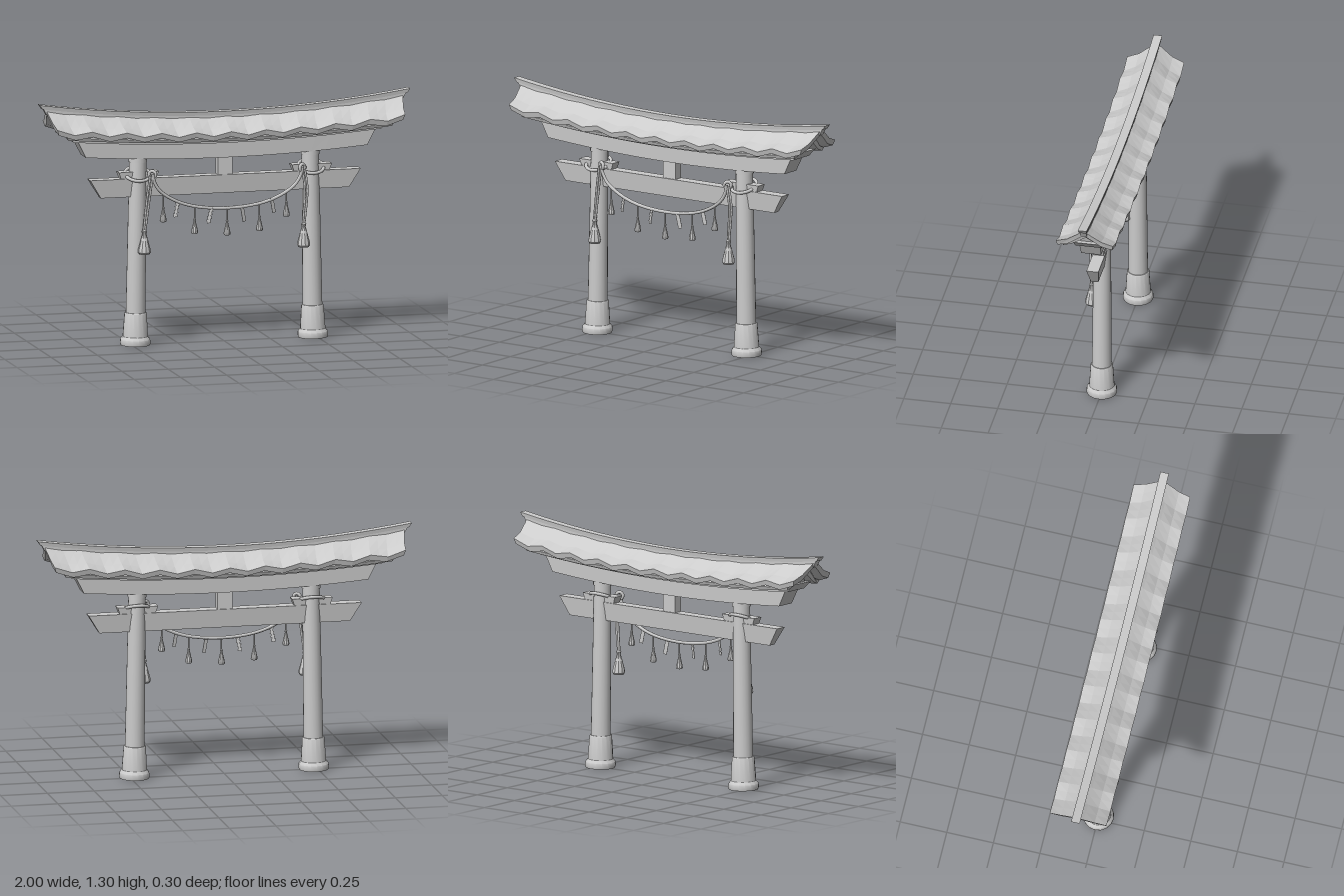
import * as THREE from 'three';
import { toCreasedNormals } from 'three/addons/utils/BufferGeometryUtils.js';

const mat = new THREE.MeshStandardMaterial({ color: 0xcccccc });
const thin = new THREE.MeshStandardMaterial({ color: 0xcccccc, side: THREE.DoubleSide });

function add(parent, name, geo, x = 0, y = 0, z = 0, material = mat) {
  const m = new THREE.Mesh(geo, material);
  m.name = name;
  m.position.set(x, y, z);
  parent.add(m);
  return m;
}

// Upward sweep towards the ends, stronger at the ridge
const sag = (x, y) => x * x * (0.055 + 0.02 * THREE.MathUtils.clamp((y - 1.12) / 0.08, 0, 1));

// Loft a closed [z, y] outline (counter-clockwise) along x; ends slant from halfLow to halfHigh
function beam(profile, halfLow, halfHigh, { segments = 20, curve = sag, wave = () => 0 } = {}) {
  const ys = profile.map((p) => p[1]);
  const low = Math.min(...ys), span = Math.max(...ys) - low;
  const n = profile.length, pos = [];
  const point = (s, i) => {
    const [z, y] = profile[i % n];
    const t = (s / segments) * 2 - 1;
    const x = t * (halfLow + ((halfHigh - halfLow) * (y - low)) / span);
    return [x, y + curve(x, y) + wave(t, z), z];
  };
  for (let s = 0; s < segments; s++) {
    for (let i = 0; i < n; i++) {
      const a = point(s, i), b = point(s + 1, i), c = point(s + 1, i + 1), d = point(s, i + 1);
      pos.push(...a, ...b, ...c, ...a, ...c, ...d);
    }
  }
  const outline = profile.map((p) => new THREE.Vector2(p[0], p[1]));
  for (const [a, b, c] of THREE.ShapeUtils.triangulateShape(outline, [])) {
    pos.push(...point(0, a), ...point(0, b), ...point(0, c));
    pos.push(...point(segments, a), ...point(segments, c), ...point(segments, b));
  }
  const g = new THREE.BufferGeometry();
  g.setAttribute('position', new THREE.Float32BufferAttribute(pos, 3));
  g.computeVertexNormals();
  return g;
}

const rect = (zLow, zHigh, y0, y1) => [[-zLow, y0], [zLow, y0], [zHigh, y1], [-zHigh, y1]];

// Symmetric roof sheet outline from half profiles running from the ridge to the eave
function chevron(top, bottom) {
  const flip = (pts) => pts.slice(1).map(([z, y]) => [-z, y]);
  return [...flip(bottom).reverse(), ...bottom, ...[...top].reverse(), ...flip(top)];
}

function lathe(points, sides = 14) {
  return toCreasedNormals(new THREE.LatheGeometry(points.map((p) => new THREE.Vector2(p[0], p[1])), sides), 0.6);
}

function rope(points, radius, segments = 24) {
  const curve = new THREE.CatmullRomCurve3(points.map((p) => new THREE.Vector3(...p)));
  return new THREE.TubeGeometry(curve, segments, radius, 7);
}

// Bell-shaped tassel, origin at its top
function tasselGeometry(height, r) {
  return lathe([[0, -height], [r * 0.8, -height], [r, -height * 0.93], [r * 0.95, -height * 0.8],
    [r * 0.5, -height * 0.38], [r * 0.3, -height * 0.2], [r * 0.42, -height * 0.1], [0, 0]], 10);
}

// Folded zigzag paper streamer, origin at its top
function streamerGeometry(side) {
  const s = new THREE.Shape();
  const left = [], right = [];
  for (let i = 0; i < 4; i++) {
    const x = side * (0.004 - i * 0.004), y = -i * 0.02;
    left.push([x - 0.012, y], [x - 0.008, y - 0.02]);
    right.push([x + 0.008, y + 0.004], [x + 0.012, y - 0.016]);
  }
  [...left, ...right.reverse()].forEach(([x, y], i) => (i ? s.lineTo(x, y) : s.moveTo(x, y)));
  return new THREE.ExtrudeGeometry(s, { depth: 0.003, bevelEnabled: false });
}

function createPillar(side) {
  const g = new THREE.Group();
  g.name = side > 0 ? 'leftPillar' : 'rightPillar';
  add(g, 'shaft', new THREE.CylinderGeometry(0.045, 0.053, 0.985, 20), 0, 0.5125);
  add(g, 'collar', new THREE.CylinderGeometry(0.049, 0.049, 0.03, 20), 0, 0.985);
  add(g, 'footing', lathe([[0.05, 0.04], [0.054, 0], [0.078, 0], [0.081, 0.012], [0.079, 0.03], [0.067, 0.045],
    [0.059, 0.168], [0.056, 0.172], [0.04, 0.172]], 16), 0, 0, 0, thin);
  g.position.x = side * 0.48;
  g.rotation.z = side * 0.015;
  return g;
}

function createRoof() {
  const g = new THREE.Group();
  g.name = 'roof';
  const wave = (t, z) => Math.cos(t * Math.PI * 10) * (0.002 + 0.009 * Math.abs(z) / 0.15);
  add(g, 'tiles', beam(chevron(
    [[0, 1.2], [0.035, 1.177], [0.09, 1.143], [0.152, 1.122]],
    [[0, 1.175], [0.035, 1.153], [0.085, 1.118], [0.145, 1.095]]), 0.93, 0.965, { segments: 40, wave }));
  add(g, 'underRoof', beam(chevron(
    [[0, 1.172], [0.035, 1.15], [0.085, 1.113], [0.132, 1.095]],
    [[0, 1.145], [0.035, 1.125], [0.08, 1.095], [0.125, 1.078]]), 0.875, 0.91));
  // Ridge: narrow course below, wider cap on top
  add(g, 'ridgeCourse', beam(rect(0.017, 0.017, 1.175, 1.203), 0.96, 0.98));
  add(g, 'ridgeCap', beam(rect(0.02, 0.023, 1.2, 1.22), 0.985, 1));
  return g;
}

function createRopes() {
  const g = new THREE.Group();
  g.name = 'ropes';
  const half = [[0.405, 0.915, 0.075], [0.392, 0.865, 0.07], [0.362, 0.82, 0.068], [0.285, 0.768, 0.064], [0.175, 0.73, 0.06]];
  const path = [...half.map(([x, y, z]) => [-x, y, z]), [0, 0.713, 0.058], ...[...half].reverse()];
  add(g, 'hangingRope', rope(path, 0.009, 60));

  for (const side of [-1, 1]) {
    // Loop around the pillar and a knot on its inner side
    const ring = add(g, 'pillarLoop', new THREE.TorusGeometry(0.067, 0.009, 8, 28), side * 0.468, 0.905, 0.006);
    ring.rotation.x = Math.PI / 2 + 0.42;
    const knot = add(g, 'knot', new THREE.TorusGeometry(0.018, 0.009, 8, 14), side * 0.405, 0.91, 0.066);
    knot.rotation.y = side * 0.5;
    // Double cord down to a large tassel
    const end = side > 0 ? 0.412 : -0.448;
    for (const o of [-0.007, 0.007]) {
      add(g, 'tasselCord', rope([[side * 0.41 + o, 0.905, 0.072], [side * 0.425 + o, 0.8, 0.07], [end + o * 0.6, 0.61, 0.068]], 0.006, 12));
    }
    add(g, 'largeTassel', tasselGeometry(0.135, 0.034), end, 0.625, 0.068);
  }

  // Small tassels: x, rope height, bottom
  for (const [x, y, bottom] of [[-0.345, 0.81, 0.655], [-0.175, 0.73, 0.585], [0, 0.713, 0.57], [0.175, 0.73, 0.585], [0.32, 0.79, 0.655]]) {
    const top = bottom + 0.085;
    add(g, 'smallCord', new THREE.CylinderGeometry(0.004, 0.004, y - top + 0.012, 6), x, (y + top - 0.012) / 2, 0.062);
    add(g, 'smallTassel', tasselGeometry(0.085, 0.018), x, top, 0.062);
  }
  // Paper streamers between the tassels
  for (const [x, y] of [[-0.27, 0.755], [-0.09, 0.715], [0.085, 0.715], [0.245, 0.755]]) {
    const s = add(g, 'paperStreamer', streamerGeometry(Math.sign(-x)), x, y, 0.06, thin);
    s.rotation.y = x > 0 ? 0.35 : -0.35;
  }
  return g;
}

export function createModel() {
  const model = new THREE.Group();
  model.name = 'shrineGate';
  model.add(createPillar(1), createPillar(-1));

  // Straight tie beam, its wedges and the central strut
  const straight = { segments: 1, curve: () => 0 };
  add(model, 'tieBeam', beam(rect(0.02, 0.032, 0.787, 0.885), 0.67, 0.73, straight));
  for (const side of [-1, 1]) {
    add(model, 'wedge', beam(rect(0.026, 0.03, 0.883, 0.92), 0.095, 0.108, straight), side * 0.467);
  }
  add(model, 'centreStrut', new THREE.BoxGeometry(0.08, 0.11, 0.05), 0, 0.935);

  // Stacked curved lintels and the gable core that carries the roof
  add(model, 'lowerLintel', beam(rect(0.053, 0.056, 0.98, 1.065), 0.76, 0.805));
  add(model, 'upperLintel', beam(rect(0.07, 0.074, 1.06, 1.098), 0.83, 0.87));
  add(model, 'gableCore', beam([[-0.055, 1.09], [0.055, 1.09], [0.055, 1.105], [0, 1.15], [-0.055, 1.105]], 0.84, 0.86));

  model.add(createRoof(), createRopes());
  return model;
}
